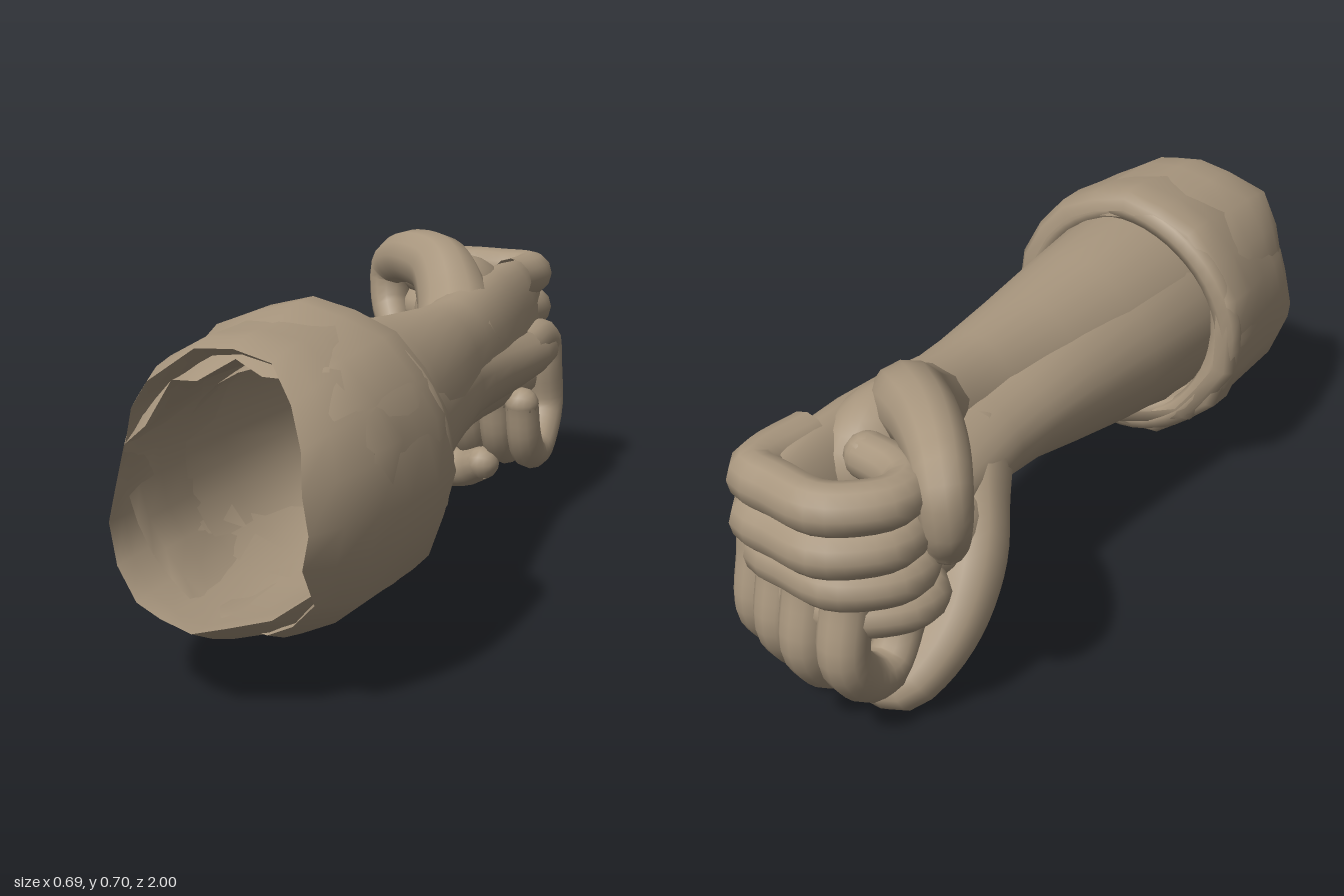
import * as THREE from 'three';

const skin = new THREE.MeshStandardMaterial({ color: 0xa8967e, side: THREE.DoubleSide });
skin.name = 'warm clay';

function mesh(name, geometry) {
  const m = new THREE.Mesh(geometry, skin);
  m.name = name;
  return m;
}

// Closed-ring surface: point(row, angle index) gives [x, y, z]
function loft(rows, cols, point) {
  const pos = [], index = [];
  for (let j = 0; j < rows; j++)
    for (let i = 0; i < cols; i++) pos.push(...point(j, i));
  for (let j = 0; j < rows - 1; j++)
    for (let i = 0; i < cols; i++) {
      const a = j * cols + i, b = j * cols + (i + 1) % cols;
      index.push(a, b, a + cols, b, b + cols, a + cols);
    }
  const g = new THREE.BufferGeometry();
  g.setAttribute('position', new THREE.Float32BufferAttribute(pos, 3));
  g.setIndex(index);
  g.computeVertexNormals();
  return g;
}

// Tapered tube with rounded tip, used for fingers and thumb
function digit(name, points, r0, r1) {
  const curve = new THREE.CatmullRomCurve3(points.map(p => new THREE.Vector3(...p)), false, 'centripetal');
  const segs = 28, sides = 12;
  const tube = new THREE.TubeGeometry(curve, segs, 1, sides);
  const pos = tube.attributes.position, p = new THREE.Vector3();
  for (let j = 0; j <= segs; j++) {
    const c = curve.getPointAt(j / segs), r = r0 + (r1 - r0) * j / segs;
    for (let i = 0; i <= sides; i++) {
      const k = j * (sides + 1) + i;
      p.fromBufferAttribute(pos, k).sub(c).multiplyScalar(r).add(c);
      pos.setXYZ(k, p.x, p.y, p.z);
    }
  }
  const g = new THREE.Group();
  g.name = name;
  const tip = mesh(name + 'Tip', new THREE.SphereGeometry(r1, 12, 8));
  tip.position.copy(curve.getPointAt(1));
  g.add(mesh(name + 'Body', tube), tip);
  return g;
}

// Forearm and palm sections: z, centre x, centre y, half width, half height, knuckle slant
const SECTIONS = [
  [0.6, 0.0, 0.0, 0.215, 0.235, 0],
  [0.42, 0.01, 0.0, 0.225, 0.245, 0],
  [0.2, 0.01, 0.01, 0.195, 0.215, 0],
  [0.0, 0.013, 0.018, 0.162, 0.187, 0],
  [-0.2, 0.018, 0.024, 0.124, 0.168, 0],
  [-0.32, 0.016, 0.028, 0.112, 0.163, 0],
  [-0.45, 0.014, 0.036, 0.108, 0.172, 0],
  [-0.6, 0.012, 0.038, 0.1, 0.182, 0.08],
  [-0.74, 0.01, 0.036, 0.09, 0.182, 0.14],
  [-0.84, 0.01, 0.036, 0.075, 0.175, 0.16],
  [-0.88, 0.01, 0.036, 0.045, 0.145, 0.16],
  [-0.89, 0.01, 0.036, 0.001, 0.01, 0.16],
];

function forearm() {
  const cols = 28;
  return mesh('forearmAndPalm', loft(SECTIONS.length, cols, (j, i) => {
    const [z, cx, cy, rx, ry, slant] = SECTIONS[j], a = -i / cols * Math.PI * 2;
    const y = Math.sin(a) * ry;
    return [cx + Math.cos(a) * rx, cy + y, z - slant * y];
  }));
}

// Torn edge of the sleeve, counted round from +x
const TORN = [0.82, 0.8, 0.86, 0.82, 0.84, 0.8, 0.83, 0.79, 0.86, 0.84,
  0.88, 0.86, 0.9, 0.93, 0.99, 1, 0.99, 0.96, 0.9, 0.84];

// Sleeve layer: rows of [fraction of length, radius factor]; one flank narrows early
function sleeveLayer(name, rows) {
  const n = TORN.length;
  return mesh(name, loft(rows.length, n, (j, i) => {
    const [f, k] = rows[j], a = i / n * Math.PI * 2;
    const z = 0.42 + f * (TORN[i] - 0.42);
    const taper = Math.pow(Math.max(0, (z - 0.74) / 0.26), 1.4);
    const flank = Math.max(0, Math.cos(a - 2.2)) * Math.max(0, z - 0.5) * 0.21;
    const r = k * (0.305 - 0.08 * taper - flank + 0.006 * Math.sin(3 * i));
    return [Math.cos(a) * r, 0.005 + Math.sin(a) * r, z];
  }));
}

// Rolled fold around the wrist end of the sleeve
function cuffFold() {
  const pts = [];
  for (let i = 0; i < 12; i++) {
    const a = i / 12 * Math.PI * 2, r = 0.268 + 0.008 * Math.sin(2 * a + 1);
    pts.push(new THREE.Vector3(Math.cos(a) * r, 0.005 + Math.sin(a) * r, 0.455 + 0.015 * Math.sin(a * 2)));
  }
  return mesh('cuffFold', new THREE.TubeGeometry(new THREE.CatmullRomCurve3(pts, true), 48, 0.032, 8, true));
}

function arm(name) {
  const g = new THREE.Group();
  g.name = name;
  g.add(forearm());

  // Four curled fingers stacked along y, bent sharply at the joints
  const path = [[0.03, -0.74], [0.04, -0.86], [0.025, -0.91], [-0.05, -0.928], [-0.15, -0.945],
    [-0.2, -0.92], [-0.25, -0.86], [-0.248, -0.8], [-0.2, -0.76], [-0.11, -0.735]];
  [['indexFinger', 0.175, 0.057, 0], ['middleFinger', 0.085, 0.056, -0.003],
    ['ringFinger', -0.003, 0.053, 0.025], ['littleFinger', -0.085, 0.05, 0.06]]
    .forEach(([finger, y, r, dz]) =>
      g.add(digit(finger, path.map(([x, z]) => [x, y, z + dz]), r, r * 0.86)));

  // Thumb leaves the wrist, arches over the palm and hooks down
  g.add(digit('thumb', [[0.02, 0.07, -0.36], [-0.03, 0.15, -0.48], [-0.1, 0.22, -0.58], [-0.19, 0.235, -0.655],
    [-0.265, 0.22, -0.725], [-0.312, 0.185, -0.775], [-0.316, 0.1, -0.77], [-0.29, 0.04, -0.735]], 0.105, 0.044));

  // Fleshy base of the thumb, filling the web towards the index knuckle
  const pad = mesh('thumbPad', new THREE.SphereGeometry(1, 20, 14));
  pad.scale.set(0.11, 0.14, 0.185);
  pad.position.set(-0.05, 0.115, -0.595);
  g.add(pad);

  g.add(
    sleeveLayer('sleeve', [[0, 0.86], [0.01, 0.95], [0.06, 1], [0.25, 1.01], [0.5, 1], [0.7, 1], [0.86, 1], [1, 0.99]]),
    sleeveLayer('sleeveLining', [[1, 0.99], [0.9, 0.9], [0.7, 0.82], [0.4, 0.77], [0.1, 0.75]]),
    cuffFold());
  return g;
}

export function createModel() {
  const model = new THREE.Group();
  model.name = 'crossedForearms';
  // Same arm twice: thumb up, and rolled a quarter turn to palm down
  const upright = arm('thumbUpArm');
  upright.position.set(0.025, 0.38, 0);
  const rolled = arm('palmDownArm');
  rolled.position.set(0.037, 0.367, 0.02);
  rolled.scale.z = 0.98;
  rolled.rotation.z = Math.PI / 2;
  model.add(upright, rolled);
  return model;
}
